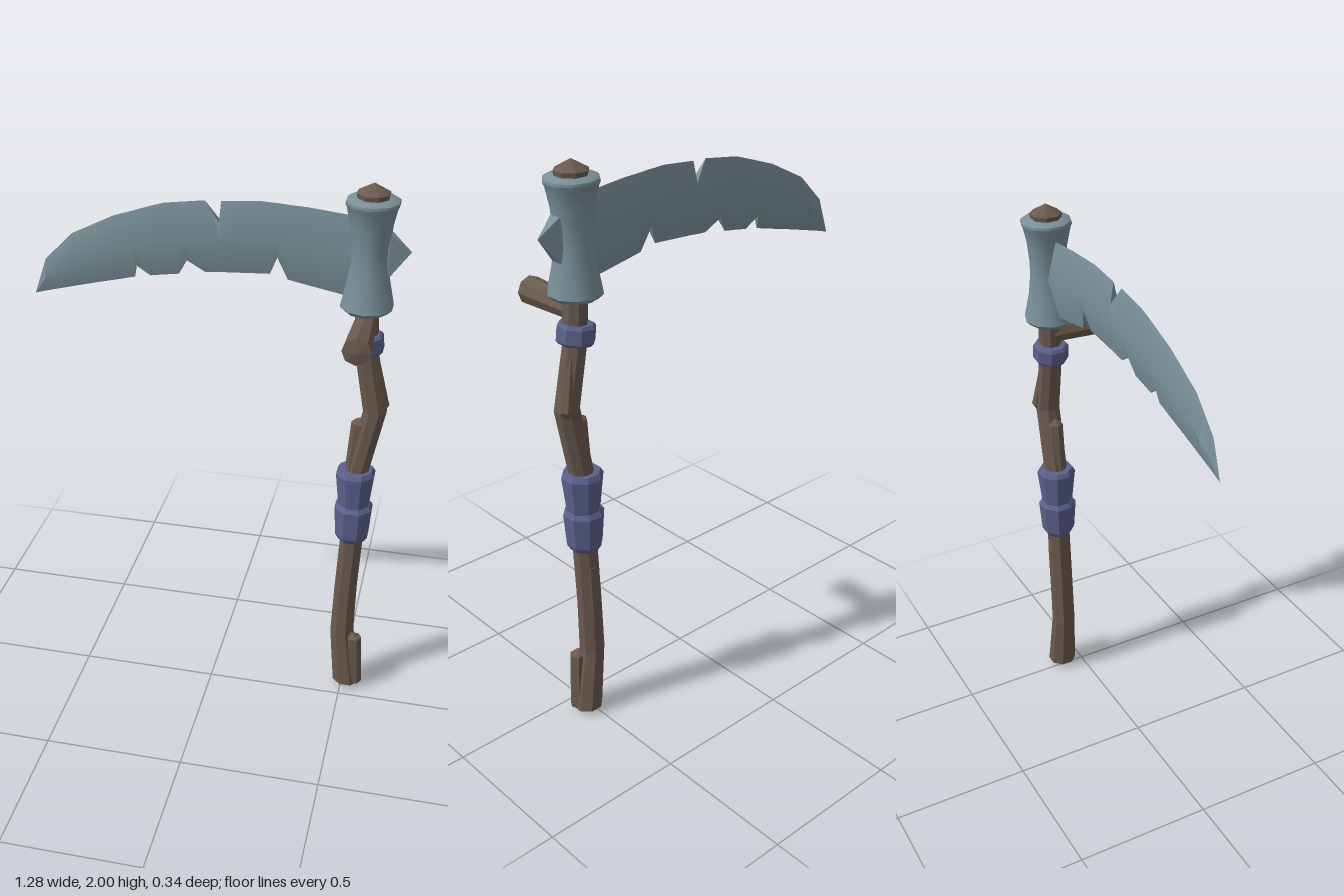
import * as THREE from 'three';
import { toCreasedNormals } from 'three/addons/utils/BufferGeometryUtils.js';

const wood = new THREE.MeshStandardMaterial({ color: 0x6b5a4e });
wood.name = 'wood';
const steel = new THREE.MeshStandardMaterial({ color: 0x7a9099 });
steel.name = 'steel';
const cloth = new THREE.MeshStandardMaterial({ color: 0x5c618c });
cloth.name = 'cloth';

const AX = 0.505, AZ = -0.08; // upper shaft axis

// Skin a row of equal-sized rings; edges sharper than crease stay hard
function loft(rings, crease) {
  const n = rings[0].length;
  const index = [];
  for (let i = 0; i < rings.length - 1; i++) {
    for (let j = 0; j < n; j++) {
      const a = i * n + j, b = i * n + (j + 1) % n;
      index.push(a, b, b + n, a, b + n, a + n);
    }
  }
  const g = new THREE.BufferGeometry();
  g.setAttribute('position', new THREE.Float32BufferAttribute(rings.flat(2), 3));
  g.setIndex(index);
  return toCreasedNormals(g, crease);
}

// Faceted limb through points [x, y, z, radius], with level rings
function limb(points, sides = 8, turn = 0) {
  const rings = points.map(([x, y, z, r]) =>
    Array.from({ length: sides }, (_, j) => {
      const t = turn + (j / sides) * Math.PI * 2;
      return [x + r * Math.cos(t), y, z - r * Math.sin(t)];
    }));
  return loft(rings, 0.05);
}

// Limb around a vertical axis from [radius, y] pairs
const turned = (profile, sides, turn) => limb(profile.map(([r, y]) => [0, y, 0, r]), sides, turn);

export function createModel() {
  const group = new THREE.Group();
  const add = (name, geometry, material, x = 0, y = 0, z = 0) => {
    const mesh = new THREE.Mesh(geometry, material);
    mesh.name = name;
    mesh.position.set(x, y, z);
    group.add(mesh);
    return mesh;
  };

  // Crooked shaft
  add('shaft', limb([
    [0.52, 0, AZ, 0], [0.52, 0.02, AZ, 0.054], [0.491, 0.25, AZ, 0.045],
    [0.495, 0.45, AZ, 0.043], [0.505, 0.67, AZ, 0.043], [0.51, 0.96, AZ, 0.043],
    [0.557, 1.2, AZ, 0.043], [0.515, 1.42, AZ, 0.041], [AX, 1.6, AZ, 0.041],
  ], 8, Math.PI / 8), wood);

  // Split pieces of wood along the shaft
  add('lowerSplinter', limb([
    [0.55, 0.02, -0.065, 0], [0.55, 0.025, -0.065, 0.029],
    [0.54, 0.235, -0.06, 0.028], [0.53, 0.255, -0.06, 0],
  ], 6), wood);
  add('middleSplinter', limb([
    [0.495, 0.94, -0.075, 0.03], [0.507, 1.15, -0.075, 0.028], [0.515, 1.17, -0.075, 0],
  ], 6), wood);
  add('upperSplinter', limb([
    [0.565, 1.15, -0.095, 0], [0.578, 1.21, -0.108, 0.024], [0.535, 1.41, -0.085, 0.02],
  ], 6), wood);
  add('backSplinter', limb([
    [0.495, 0.25, -0.1, 0], [0.495, 0.33, -0.1, 0.025],
    [0.505, 0.6, -0.1, 0.025], [0.505, 0.64, -0.1, 0],
  ], 6), wood);

  // Wooden cap above the head
  add('shaftCap', turned([[0.05, 1.93], [0.056, 1.968], [0, 2]], 8, Math.PI / 8), wood, AX, 0, AZ);

  // Side peg, pointing forward
  const peg = add('peg', turned([[0.038, 0], [0.048, 0.238], [0, 0.247]], 8), wood, AX, 1.525, AZ);
  peg.rotation.x = Math.PI / 2;

  // Cloth wraps on the grip
  add('lowerWrap', turned(
    [[0, 0.67], [0.05, 0.67], [0.062, 0.69], [0.071, 0.805], [0.06, 0.82], [0, 0.82]], 8, Math.PI / 8),
  cloth, AX, 0, AZ);
  add('upperWrap', turned(
    [[0, 0.81], [0.057, 0.81], [0.072, 0.945], [0.062, 0.962], [0, 0.962]], 8, Math.PI / 8),
  cloth, AX, 0, AZ);

  // Tilted ring below the head
  const ring = add('neckRing', turned(
    [[0, -0.034], [0.055, -0.034], [0.064, -0.024], [0.064, 0.024], [0.055, 0.034], [0, 0.034]], 8, Math.PI / 8),
  cloth, 0.509, 1.449, AZ);
  ring.rotation.z = 0.12;

  // Waisted metal head
  const headProfile = [
    [0, 1.568], [0.074, 1.568], [0.09, 1.584], [0.086, 1.605], [0.072, 1.67], [0.064, 1.74],
    [0.064, 1.79], [0.071, 1.86], [0.085, 1.925], [0.09, 1.935], [0.088, 1.944], [0.076, 1.952], [0, 1.952],
  ].map(([r, y]) => new THREE.Vector2(r, y));
  add('head', toCreasedNormals(new THREE.LatheGeometry(headProfile, 10), 0.7), steel, AX, 0, AZ);

  // Pyramid spike opposite the blade
  const spikeRing = (x, y0, y1, w) =>
    [[x, y1, AZ + w], [x, y0, AZ + w], [x, y0, AZ - w], [x, y1, AZ - w]];
  add('backSpike', loft([
    spikeRing(0.55, 1.68, 1.85, 0.024), spikeRing(0.568, 1.69, 1.84, 0.023), spikeRing(0.638, 1.78, 1.78, 0),
  ], 0.05), steel);

  // Blade stations: x, top, ridge, bottom, half thickness, top and bottom edge half thickness
  const stations = [
    [-0.645, 1.52, 1.52, 1.52, 0],
    [-0.6, 1.65, 1.585, 1.533, 0.012],
    [-0.55, 1.7, 1.625, 1.546, 0.02],
    [-0.5, 1.75, 1.66, 1.559, 0.023],
    [-0.41, 1.795, 1.695, 1.582, 0.028],
    [-0.35, 1.825, 1.718, 1.596, 0.028],
    [-0.283, 1.847, 1.735, 1.613, 0.028],
    [-0.278, 1.849, 1.736, 1.66, 0.028, 0, 0.011],
    [-0.23, 1.865, 1.745, 1.622, 0.028],
    [-0.18, 1.881, 1.755, 1.63, 0.028],
    [-0.13, 1.888, 1.763, 1.637, 0.028],
    [-0.1, 1.892, 1.769, 1.692, 0.028, 0, 0.011],
    [-0.04, 1.9, 1.777, 1.652, 0.028],
    [0.009, 1.832, 1.782, 1.655, 0.028, 0.014],
    [0.014, 1.902, 1.782, 1.656, 0.028],
    [0.14, 1.912, 1.786, 1.663, 0.028],
    [0.18, 1.91, 1.786, 1.665, 0.028],
    [0.205, 1.909, 1.785, 1.73, 0.028, 0, 0.014],
    [0.24, 1.906, 1.782, 1.65, 0.028],
    [0.3, 1.903, 1.775, 1.638, 0.028],
    [0.42, 1.89, 1.755, 1.615, 0.028],
    [0.48, 1.88, 1.745, 1.61, 0.028],
  ];
  add('blade', loft(stations.map(([x, top, mid, bottom, h, et = 0, eb = 0]) => [
    [x, top, AZ + et], [x, mid, AZ + h], [x, bottom, AZ + eb],
    [x, bottom, AZ - eb], [x, mid, AZ - h], [x, top, AZ - et],
  ]), 0.6), steel);

  return group;
}
